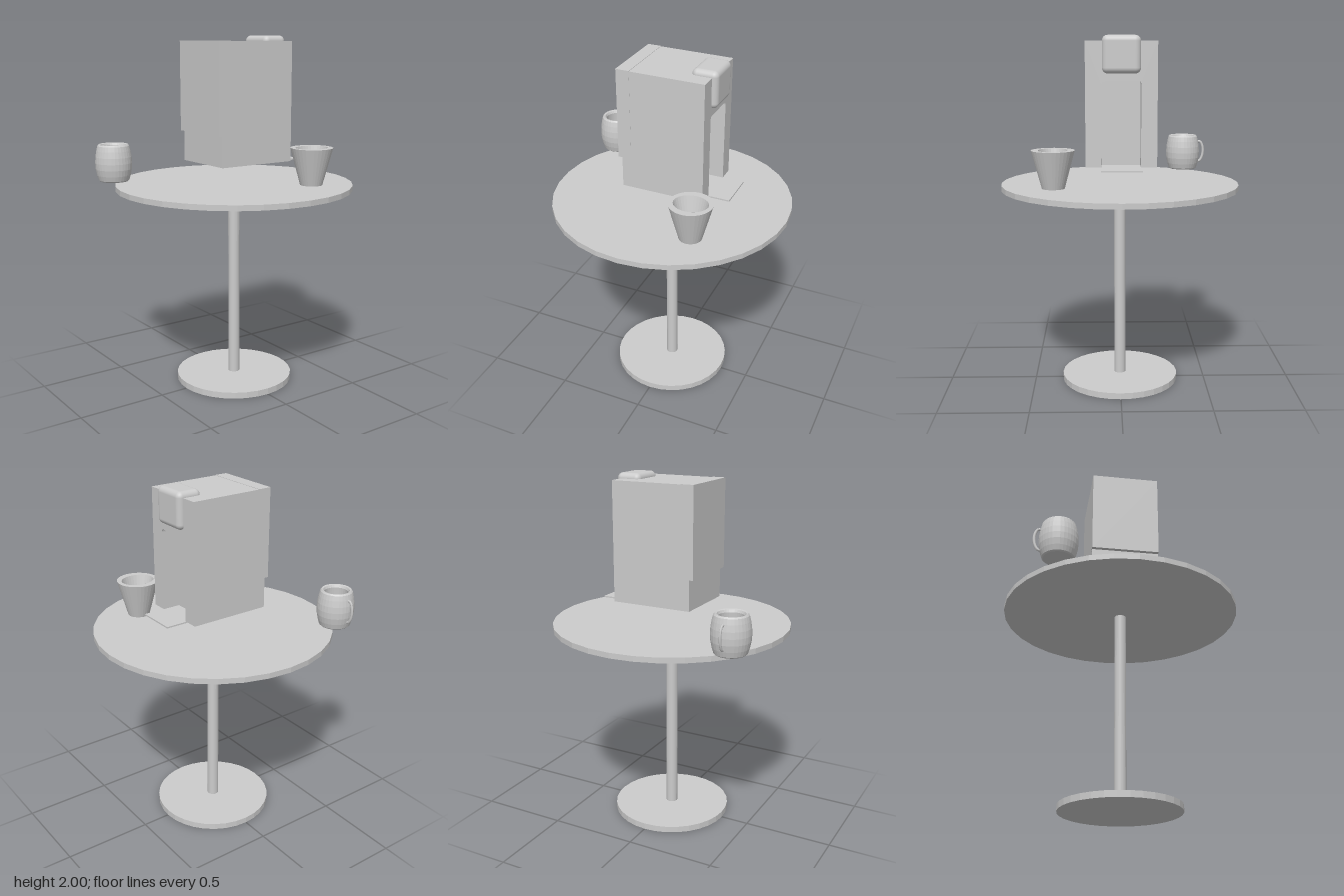
import * as THREE from 'three';
import { RoundedBoxGeometry } from 'three/addons/geometries/RoundedBoxGeometry.js';

const flat = new THREE.MeshStandardMaterial({ color: 0xcccccc, flatShading: true });
const smooth = new THREE.MeshStandardMaterial({ color: 0xcccccc });
const open = new THREE.MeshStandardMaterial({ color: 0xcccccc, flatShading: true, side: THREE.DoubleSide });

function add(parent, name, geometry, material, x = 0, y = 0, z = 0) {
  const mesh = new THREE.Mesh(geometry, material);
  mesh.name = name;
  mesh.position.set(x, y, z);
  parent.add(mesh);
  return mesh;
}

function group(parent, name, x, y, z) {
  const g = new THREE.Group();
  g.name = name;
  g.position.set(x, y, z);
  parent.add(g);
  return g;
}

// Box given by its lower and upper corner
function box(parent, name, [x0, y0, z0], [x1, y1, z1]) {
  return add(parent, name, new THREE.BoxGeometry(x1 - x0, y1 - y0, z1 - z0), flat,
    (x0 + x1) / 2, (y0 + y1) / 2, (z0 + z1) / 2);
}

const lathe = (pairs, sides = 32) =>
  new THREE.LatheGeometry(pairs.map(([r, y]) => new THREE.Vector2(r, y)), sides);

function buildTable(parent) {
  const table = group(parent, 'table', 0, 0, 0);
  const disc = (name, r, y0, y1) =>
    add(table, name, new THREE.CylinderGeometry(r, r, y1 - y0, 32), flat, 0, (y0 + y1) / 2, 0);
  disc('tableBase', 0.337, 0, 0.035);
  disc('tablePole', 0.033, 0.035, 1.148);
  disc('tableTop', 0.675, 1.148, 1.178);
}

function buildMachine(parent) {
  const machine = group(parent, 'coffeeMachine', 0, 0, -0.003);
  box(machine, 'machineBody', [-0.208, 1.3, -0.193], [0.16, 1.97, 0.193]);
  box(machine, 'backPanel', [-0.23, 1.472, -0.194], [-0.155, 1.972, 0.194]);

  // Front housing with a round-cornered dispensing bay open at the bottom
  const w = 0.193, b = 0.106, top = 1.76, r = 0.018;
  const s = new THREE.Shape();
  s.moveTo(-w, 1.3).lineTo(-b, 1.3).lineTo(-b, top - r);
  s.quadraticCurveTo(-b, top, -b + r, top);
  s.lineTo(b - r, top);
  s.quadraticCurveTo(b, top, b, top - r);
  s.lineTo(b, 1.3).lineTo(w, 1.3).lineTo(w, 1.97).lineTo(-w, 1.97).closePath();
  const housing = new THREE.ExtrudeGeometry(s, { depth: 0.1, bevelEnabled: false, curveSegments: 5 });
  housing.rotateY(Math.PI / 2);
  add(machine, 'frontHousing', housing, flat, 0.16, 0, 0);

  box(machine, 'dripTray', [0.15, 1.291, -0.11], [0.38, 1.299, 0.11]);
  add(machine, 'dispenserHead', new RoundedBoxGeometry(0.145, 0.2, 0.206, 4, 0.03), smooth, 0.2175, 1.9, 0);
}

function buildMug(parent) {
  const mug = group(parent, 'mug', -0.552, 1.183, -0.411);
  // Barrel wall, rolled rim and hollow inside as one profile
  add(mug, 'mugBody', lathe([
    [0, 0], [0.08, 0], [0.087, 0.006], [0.096, 0.035], [0.103, 0.07], [0.105, 0.105],
    [0.103, 0.14], [0.097, 0.175], [0.09, 0.203], [0.083, 0.211], [0.073, 0.208],
    [0.067, 0.195], [0.07, 0.15], [0.072, 0.1], [0.067, 0.05], [0.05, 0.025], [0, 0.02],
  ]), open);
  // Thin loop handle on the back
  const path = new THREE.CatmullRomCurve3([
    [0.172, -0.09], [0.168, -0.112], [0.14, -0.126], [0.105, -0.129],
    [0.07, -0.122], [0.048, -0.108], [0.043, -0.09],
  ].map(([y, z]) => new THREE.Vector3(0, y, z)));
  const handle = add(mug, 'mugHandle', new THREE.TubeGeometry(path, 24, 0.008, 8), smooth);
  handle.scale.x = 0.8;
}

function buildCup(parent) {
  const cup = group(parent, 'cup', 0.267, 1.188, 0.365);
  const h = 0.207;
  add(cup, 'cupWall', lathe([[0, 0], [0.062, 0], [0.118, h]]), open);
  // Flat rim around an oval opening
  const rim = new THREE.Shape().absarc(0, 0, 0.118, 0, Math.PI * 2);
  rim.holes.push(new THREE.Path().absellipse(0, 0, 0.094, 0.08, 0, Math.PI * 2, true));
  add(cup, 'cupRim', new THREE.ShapeGeometry(rim, 32).rotateX(-Math.PI / 2), open, 0, h, 0);
  const inside = add(cup, 'cupInside', lathe([[0, 0.04], [0.05, 0.04], [0.094, h]]), open);
  inside.scale.z = 0.85;
}

export function createModel() {
  const model = new THREE.Group();
  model.name = 'coffeeTable';
  buildTable(model);
  buildMachine(model);
  buildMug(model);
  buildCup(model);
  return model;
}
